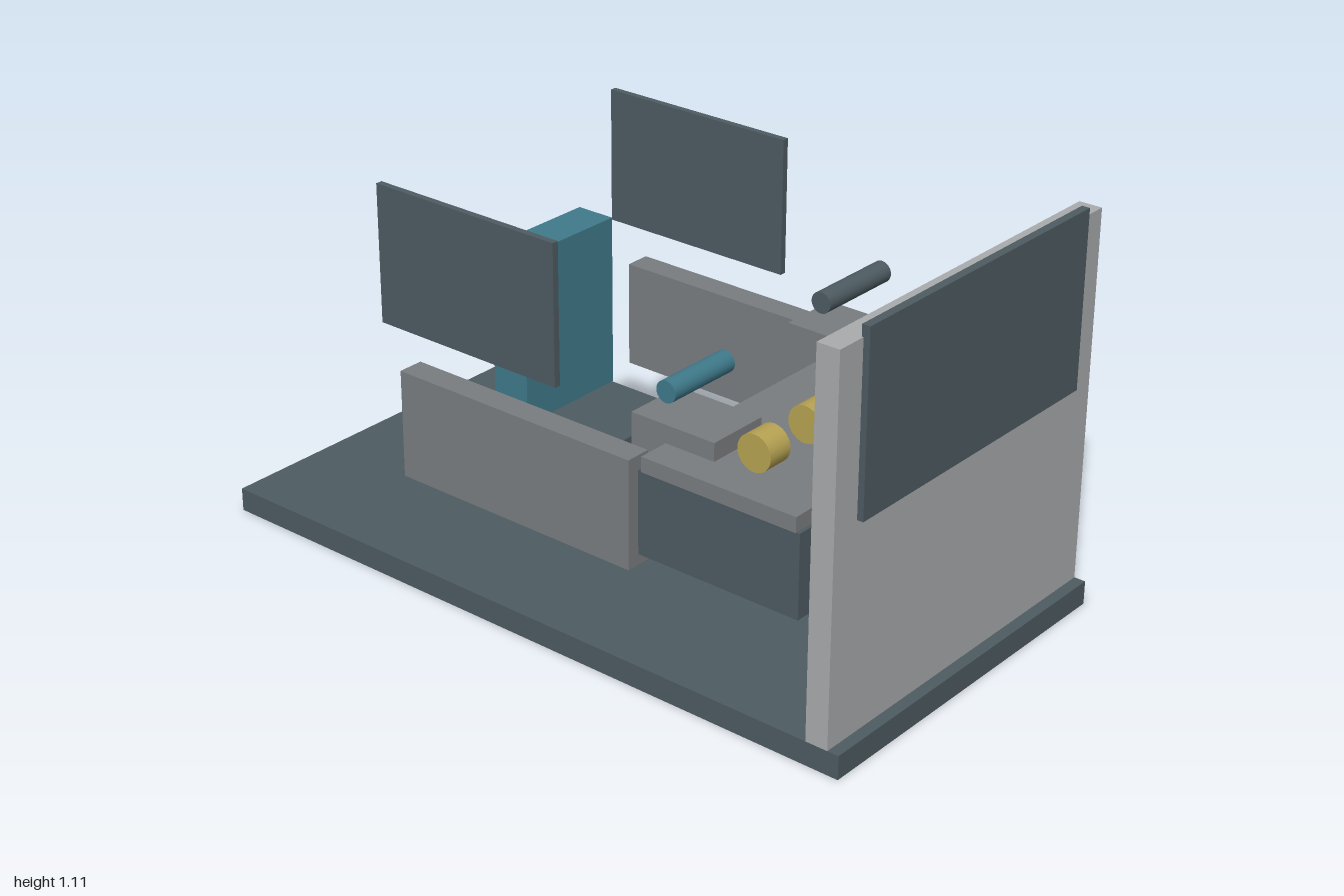
import * as THREE from 'three';

const material = (name, color) => {
  const m = new THREE.MeshStandardMaterial({ color });
  m.name = name;
  return m;
};

export function createModel() {
  const slate = material('slate', 0x4d5b61);
  const grey = material('grey', 0x7a7d80);
  const paleGrey = material('paleGrey', 0xa9abad);
  const teal = material('teal', 0x3f7a8b);
  const gold = material('gold', 0xb7a353);

  const model = new THREE.Group();
  model.name = 'cockpit';

  const add = (name, geometry, mat, x, y, z) => {
    const mesh = new THREE.Mesh(geometry, mat);
    mesh.name = name;
    mesh.position.set(x, y, z);
    model.add(mesh);
  };
  // Box given by its limits on each axis
  const box = (name, mat, [x0, x1], [y0, y1], [z0, z1]) =>
    add(name, new THREE.BoxGeometry(x1 - x0, y1 - y0, z1 - z0), mat,
      (x0 + x1) / 2, (y0 + y1) / 2, (z0 + z1) / 2);
  // Cylinder lying along z
  const rod = (name, mat, radius, x, y, [z0, z1]) =>
    add(name, new THREE.CylinderGeometry(radius, radius, z1 - z0, 24).rotateX(Math.PI / 2), mat,
      x, y, (z0 + z1) / 2);

  // Floor and end wall with its panels
  box('floor', slate, [-1, 1], [0, 0.065], [-0.52, 0.52]);
  box('endWall', paleGrey, [0.905, 0.968], [0.065, 1.077], [-0.52, 0.52]);
  box('outerPanel', slate, [0.963, 0.985], [0.63, 1.107], [-0.436, 0.436]);
  box('innerPanel', slate, [0.812, 0.84], [0.64, 0.866], [-0.165, 0.165]);

  // Console
  box('consoleBody', slate, [0.363, 0.84], [0.34, 0.565], [-0.474, 0.474]);
  box('consoleTop', grey, [0.374, 0.83], [0.564, 0.605], [-0.476, 0.476]);
  for (const z of [-0.327, -0.107, 0.148, 0.34])
    rod('consoleKnob', gold, 0.049, 0.63, 0.66, [z - 0.037, z + 0.037]);

  // Control blocks and grips
  box('rightControlBlock', grey, [0.26, 0.53], [0.553, 0.667], [-0.403, -0.23]);
  box('leftControlBlock', grey, [0.268, 0.521], [0.553, 0.654], [0.21, 0.387]);
  rod('rightGrip', slate, 0.029, 0.392, 0.775, [-0.441, -0.187]);
  rod('leftGrip', teal, 0.029, 0.392, 0.753, [0.188, 0.408]);

  // Seat
  box('seatBase', slate, [-0.355, -0.025], [0.26, 0.36], [-0.165, 0.165]);
  box('seatBack', teal, [-0.385, -0.273], [0.36, 0.83], [-0.168, 0.168]);

  // Side rails and side screens, mirrored
  for (const s of [-1, 1]) {
    const span = (a, b) => (s > 0 ? [a, b] : [-b, -a]);
    const side = s > 0 ? 'left' : 'right';
    box(side + 'Rail', grey, [-0.418, 0.333], [0.284, 0.58], span(0.403, 0.474));
    box(side + 'Screen', slate, [-0.502, 0.08], [0.68, 1.055], span(0.43, 0.448));
  }
  return model;
}
